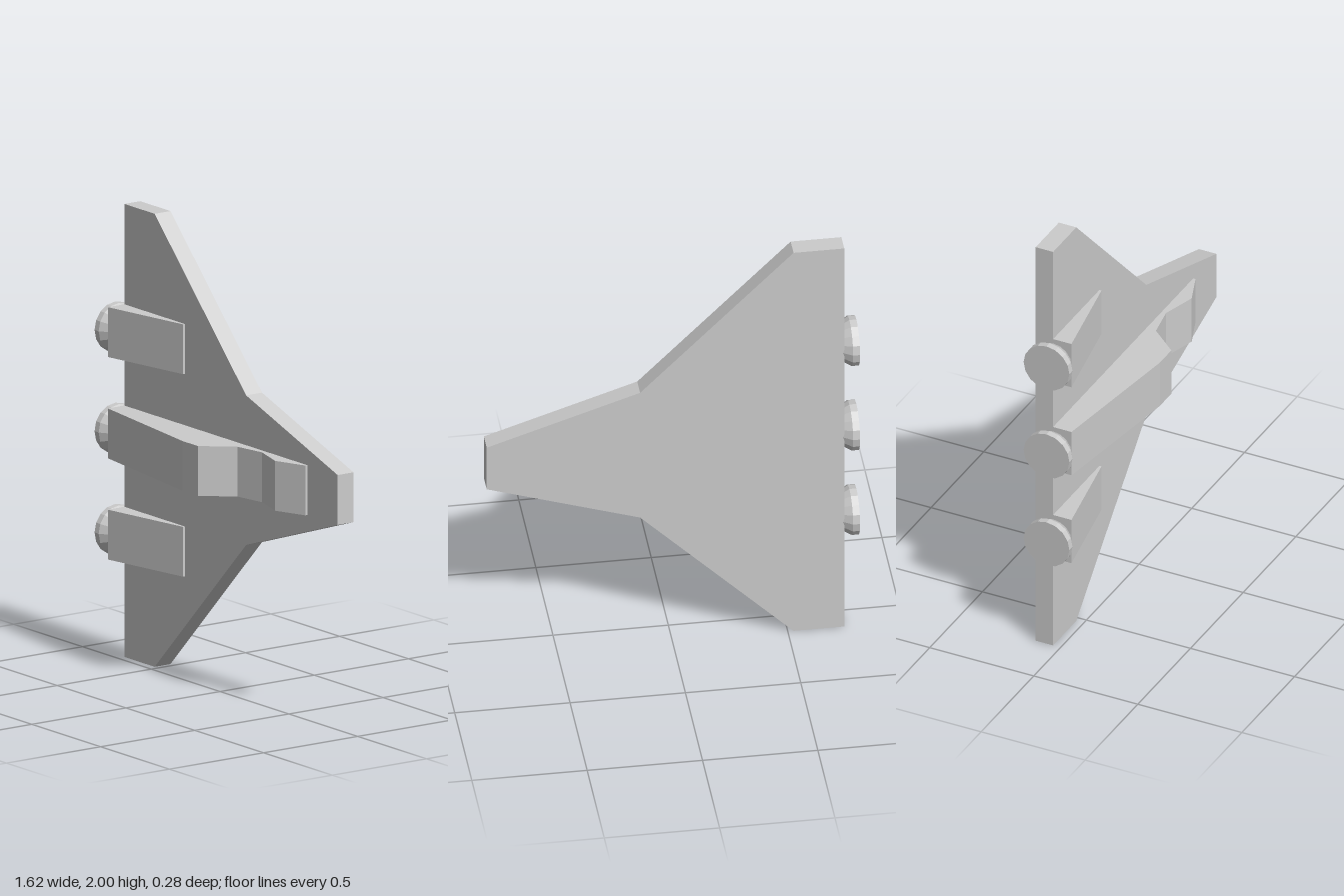
import * as THREE from 'three';

const TAIL = -0.745; // x of the flat rear edge
const BACK = -0.12, DECK = -0.036; // z faces of the hull plate
const POD_WIDTH = 0.22;
const POD_SPACING = 0.447;

const material = new THREE.MeshStandardMaterial({ color: 0xcccccc, flatShading: true });

function add(parent, name, geometry) {
  const mesh = new THREE.Mesh(geometry, material);
  mesh.name = name;
  parent.add(mesh);
  return mesh;
}

function extrude(points, depth) {
  const shape = new THREE.Shape(points.map(([x, y]) => new THREE.Vector2(x, y)));
  return new THREE.ExtrudeGeometry(shape, { depth, bevelEnabled: false });
}

// Flat hull piece: outline in x and y
const plate = (points) => extrude(points, DECK - BACK).translate(0, 0, BACK);

// Raised block: outline in x and z, centred on height y
const block = (points, y) =>
  extrude(points, POD_WIDTH).translate(0, 0, -POD_WIDTH / 2).rotateX(Math.PI / 2).translate(0, y, 0);

// Flared exhaust with a flat end, pointing to -x
function nozzleGeometry() {
  const profile = [[0, 0.74], [0.085, 0.74], [0.11, 0.78], [0.11, 0.81], [0, 0.81]];
  return new THREE.LatheGeometry(profile.map(([r, h]) => new THREE.Vector2(r, h)), 16)
    .rotateZ(Math.PI / 2);
}

export function createModel() {
  const ship = new THREE.Group();
  ship.name = 'spaceship';

  // Hull: swept wing plate and tapered nose plate
  add(ship, 'wings', plate([
    [TAIL, 0], [-0.525, 0], [0.14, 0.67], [0.14, 1.33], [-0.525, 2], [TAIL, 2],
  ]));
  add(ship, 'nose', plate([[0.14, 0.67], [0.805, 0.89], [0.805, 1.11], [0.14, 1.33]]));

  // Central fuselage with cockpit step and sloping front
  add(ship, 'fuselage', block([
    [TAIL, DECK], [0.585, DECK], [0.585, -0.025], [0.44, 0.03], [0.285, -0.015],
    [0.14, 0.01], [0.03, 0.14], [-0.08, 0.14], [TAIL, 0.052],
  ], 1));

  // Wedge engine housings on both wings
  for (const side of [-1, 1]) {
    add(ship, side > 0 ? 'upperEngineHousing' : 'lowerEngineHousing', block([
      [TAIL, DECK], [-0.305, DECK], [-0.305, -0.026], [TAIL, 0.052],
    ], 1 + side * POD_SPACING));
  }

  // Exhaust nozzles along the rear edge
  ['lowerNozzle', 'centreNozzle', 'upperNozzle'].forEach((name, i) => {
    add(ship, name, nozzleGeometry()).position.set(0, 1 + (i - 1) * POD_SPACING, -0.035);
  });

  return ship;
}
